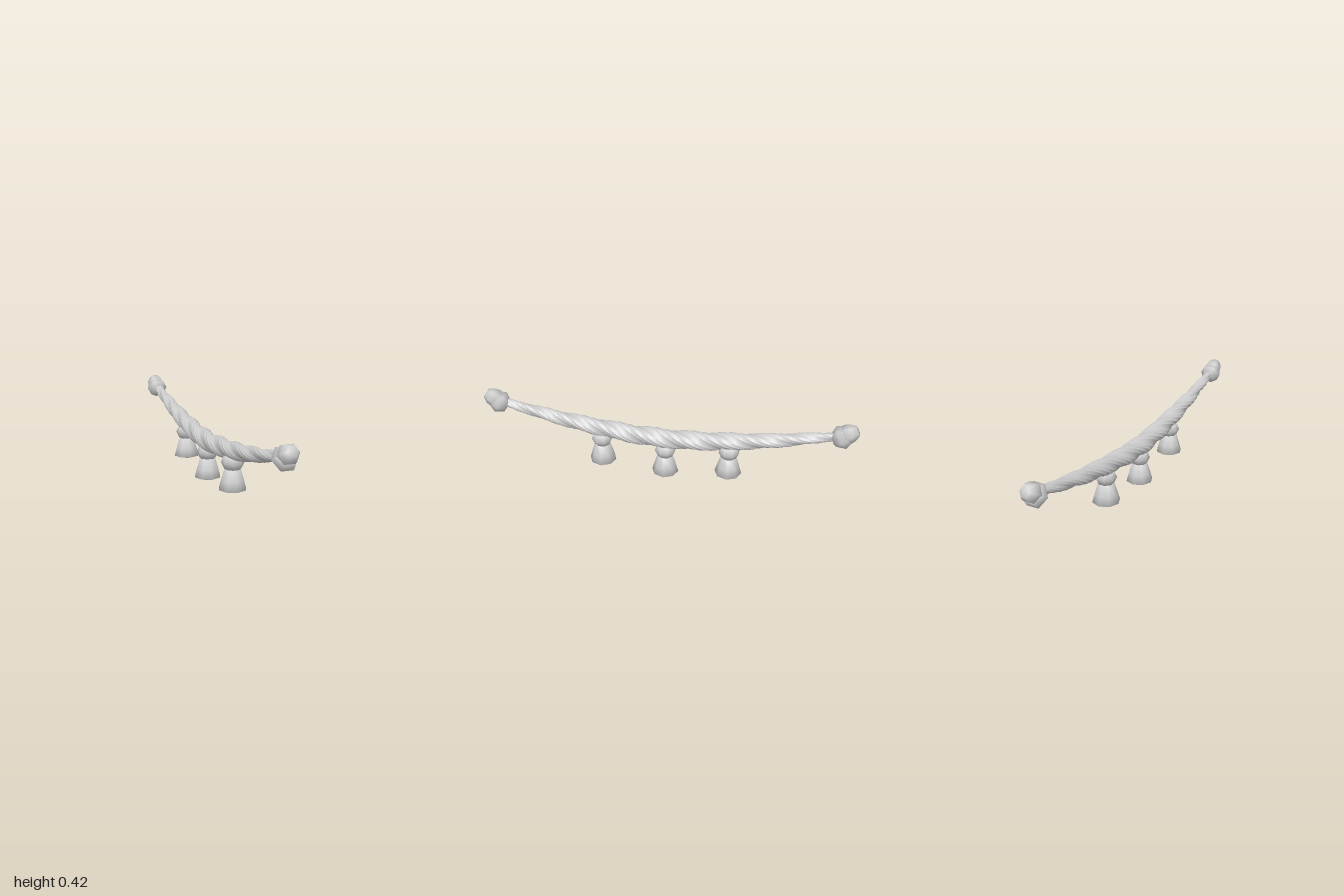
import * as THREE from 'three';
import { toCreasedNormals } from 'three/addons/utils/BufferGeometryUtils.js';

const material = new THREE.MeshStandardMaterial({ color: 0xcccccc, side: THREE.DoubleSide });

// Low-sided turned part from [radius, height] pairs, listed bottom to top
function turned(name, profile, sides, phase = 0) {
  const points = profile.map(([r, y]) => new THREE.Vector2(r, y));
  const mesh = new THREE.Mesh(new THREE.LatheGeometry(points, sides, phase), material);
  mesh.name = name;
  return mesh;
}

// Sagging, tapering rope: a three-lobed section twisted along z
function ropeGeometry() {
  const rings = 72, around = 15, half = 0.9, twist = 10.5;
  const positions = [], index = [];
  for (let i = 0; i <= rings; i++) {
    const z = -half + (2 * half * i) / rings;
    const d = Math.abs(z);
    const radius = 0.022 + 0.032 * Math.pow(Math.cos((d / half) * Math.PI / 2), 0.9);
    const cx = -0.007 * (1 - d / half);
    const cy = 0.217 + 0.165 * Math.pow(d, 1.7);
    for (let j = 0; j < around; j++) {
      const a = (j / around) * Math.PI * 2;
      const r = radius * (0.78 + 0.24 * Math.abs(Math.sin(1.5 * a)));
      const t = a + twist * z + 0.4;
      positions.push(cx + r * Math.cos(t), cy + r * Math.sin(t), z);
      if (i < rings) {
        const p = i * around + j, q = i * around + ((j + 1) % around);
        index.push(p, q, q + around, p, q + around, p + around);
      }
    }
  }
  const geometry = new THREE.BufferGeometry();
  geometry.setAttribute('position', new THREE.Float32BufferAttribute(positions, 3));
  geometry.setIndex(index);
  return toCreasedNormals(geometry, 0.6);
}

// Bead with a flared skirt hanging under the rope
function tassel() {
  const group = new THREE.Group();
  group.name = 'tassel';
  group.add(turned('tasselBead',
    [[0, 0.148], [0.042, 0.15], [0.058, 0.183], [0.046, 0.212], [0, 0.218]], 8, Math.PI / 8));
  group.add(turned('tasselSkirt',
    [[0, 0.034], [0.04, 0.035], [0.073, 0.045], [0.06, 0.09], [0.042, 0.15], [0, 0.156]], 8));
  return group;
}

// Knot bead and rounded tip, tilted up along the rope end
function ropeEnd() {
  const group = new THREE.Group();
  group.name = 'ropeEnd';
  const bead = turned('endBead',
    [[0, -0.048], [0.036, -0.046], [0.063, -0.004], [0.046, 0.038], [0, 0.042]], 6, Math.PI / 2);
  bead.position.set(0, 0.349, 0.914);
  bead.rotation.x = 1.0;
  const tip = turned('endTip',
    [[0, -0.048], [0.035, -0.045], [0.052, -0.01], [0.045, 0.022], [0.027, 0.05], [0, 0.05]],
    6, Math.PI / 2);
  tip.position.set(0, 0.373, 0.944);
  tip.rotation.x = 1.05;
  group.add(bead, tip);
  return group;
}

export function createModel() {
  const model = new THREE.Group();
  model.name = 'tasselledRope';

  const rope = new THREE.Mesh(ropeGeometry(), material);
  rope.name = 'twistedRope';
  model.add(rope);

  // Three tassels, the middle one lowest
  for (const [z, drop] of [[-0.345, 0], [0, 0.034], [0.35, 0]]) {
    const t = tassel();
    t.position.set(0, -drop, z);
    model.add(t);
  }

  // A knotted end at the front and the back
  for (const turn of [0, Math.PI]) {
    const end = ropeEnd();
    end.rotation.y = turn;
    model.add(end);
  }
  return model;
}
